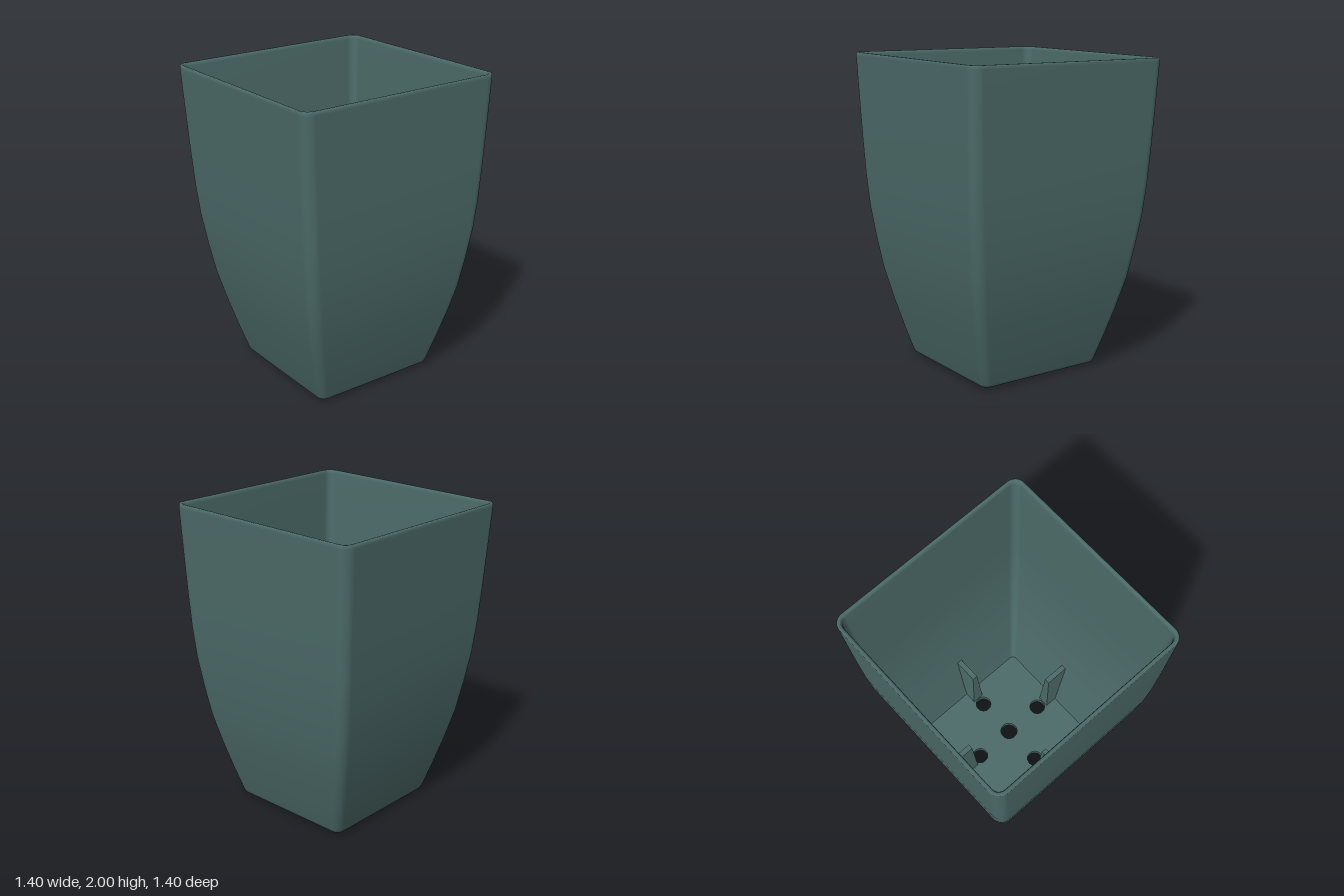
import * as THREE from 'three';

// Base centre; the pot leans slightly so its rim is centred on the origin
const BASE_X = 0.025, BASE_Z = -0.01;
const FLOOR_BOTTOM = 0.018, FLOOR_TOP = 0.06;

// Wall profile as [half width, height, corner radius]
const OUTER = [
  [0.415, 0.018, 0.04], [0.43, 0.024, 0.045], [0.44, 0.045, 0.05],
  [0.485, 0.2, 0.055], [0.538, 0.4, 0.06], [0.585, 0.6, 0.065],
  [0.618, 0.8, 0.07], [0.645, 1.0, 0.07], [0.662, 1.2, 0.07],
  [0.676, 1.45, 0.07], [0.69, 1.75, 0.07], [0.7, 1.975, 0.07],
];
const RIM = [[0.7, 1.99, 0.07], [0.695, 1.998, 0.065], [0.682, 1.998, 0.055], [0.677, 1.99, 0.05]];
const WALL = 0.028;

// Points of a rounded square, counted from +x towards +z
function roundedSquare(half, radius, steps = 8) {
  const points = [];
  for (let corner = 0; corner < 4; corner++) {
    const mid = (corner + 0.5) * Math.PI / 2;
    const cx = Math.sign(Math.cos(mid)) * (half - radius);
    const cz = Math.sign(Math.sin(mid)) * (half - radius);
    for (let i = 0; i <= steps; i++) {
      const a = (corner + i / steps) * Math.PI / 2;
      points.push(new THREE.Vector2(cx + radius * Math.cos(a), cz + radius * Math.sin(a)));
    }
  }
  return points;
}

// Loft the outer wall, rim and inner wall as one smooth skin
function wallGeometry() {
  const inner = OUTER.slice(3).reverse().map(([h, y, r]) => [h - WALL, y, r - 0.02]);
  inner.push([0.428, 0.09, 0.035], [0.418, FLOOR_TOP, 0.03]);
  const profile = [...OUTER, ...RIM, ...inner];
  const positions = [], index = [];
  let n = 0;
  for (const [half, y, radius] of profile) {
    const ring = roundedSquare(half, radius);
    n = ring.length;
    const lean = 1 - y / 2;
    for (const p of ring) {
      // the rim tilts a touch upwards to the left and back
      const tilt = (y / 2) ** 2 * (0.011 * (p.x - 0.7) - 0.002 * p.y);
      positions.push(p.x + BASE_X * lean, y + tilt, p.y + BASE_Z * lean);
    }
  }
  for (let i = 0; i < profile.length - 1; i++) {
    for (let j = 0; j < n; j++) {
      const a = i * n + j, b = i * n + (j + 1) % n;
      index.push(a, a + n, b, b, a + n, b + n);
    }
  }
  const geometry = new THREE.BufferGeometry();
  geometry.setAttribute('position', new THREE.Float32BufferAttribute(positions, 3));
  geometry.setIndex(index);
  geometry.computeVertexNormals();
  return geometry;
}

// Floor slab with five drainage holes in a cross
function floorGeometry() {
  const shape = new THREE.Shape(roundedSquare(0.419, 0.035));
  const d = 0.278;
  for (const [x, y, r] of [[0, 0, 0.058], [d, 0, 0.053], [-d, 0, 0.053], [0, d, 0.053], [0, -d, 0.053]]) {
    shape.holes.push(new THREE.Path().absarc(x, y, r, 0, Math.PI * 2, true));
  }
  const geometry = new THREE.ExtrudeGeometry(shape, {
    depth: FLOOR_TOP - FLOOR_BOTTOM, bevelEnabled: false, curveSegments: 32,
  });
  return geometry.rotateX(-Math.PI / 2);
}

// Drafted rib: narrow on top, wide at the floor, following the wall
function ribGeometry() {
  const geometry = new THREE.BoxGeometry(1, 1, 1);
  const p = geometry.attributes.position;
  for (let i = 0; i < p.count; i++) {
    const top = p.getY(i) > 0, outside = p.getX(i) > 0;
    const x = outside ? (top ? 0.535 : 0.425) : (top ? 0.355 : 0.335);
    p.setXYZ(i, x, top ? 0.45 : FLOOR_TOP - 0.01, p.getZ(i) * (top ? 0.036 : 0.08));
  }
  geometry.computeVertexNormals();
  return geometry;
}

export function createModel() {
  const model = new THREE.Group();
  model.name = 'planter';
  const teal = new THREE.MeshStandardMaterial({ color: 0x4c6b69 });
  teal.name = 'dark teal plastic';

  const add = (name, geometry, parent) => {
    const mesh = new THREE.Mesh(geometry, teal);
    mesh.name = name;
    parent.add(mesh);
    return mesh;
  };

  add('wall', wallGeometry(), model);

  const base = new THREE.Group();
  base.name = 'base';
  base.position.set(BASE_X, 0, BASE_Z);
  model.add(base);

  add('floor', floorGeometry(), base).position.y = FLOOR_BOTTOM;

  // Four inner ribs, one in the middle of each wall
  const rib = ribGeometry();
  for (let i = 0; i < 4; i++) add('rib', rib, base).rotation.y = i * Math.PI / 2;

  // Four low round feet near the corners
  const foot = new THREE.CylinderGeometry(0.054, 0.048, 0.022, 24);
  for (const x of [-0.297, 0.297]) {
    for (const z of [-0.297, 0.297]) add('foot', foot, base).position.set(x, 0.011, z);
  }
  return model;
}
